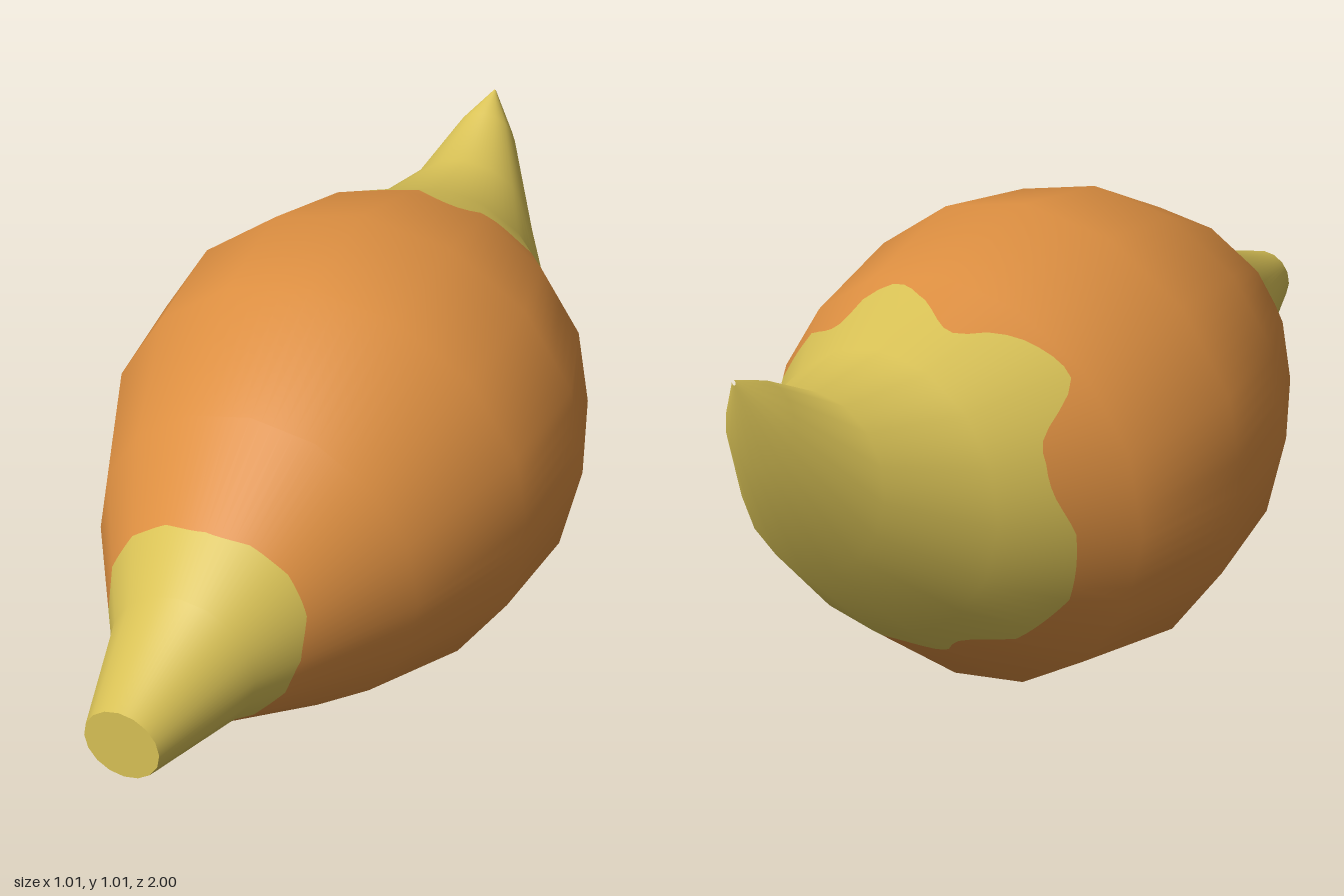
import * as THREE from 'three';

const SIDES = 16, SUB = 6, COLS = SIDES * SUB;

// Cross-sections from stem to tip: [top z, top y, bottom z, bottom y, half width]
const RINGS = [
  [1, 0.583, 1, 0.437, 0.073],
  [0.76, 0.657, 0.76, 0.368, 0.147],
  [0.44, 0.853, 0.44, 0.168, 0.342],
  [0.15, 0.98, 0.15, 0.04, 0.47],
  [-0.12, 1.015, -0.12, 0.003, 0.505],
  [-0.4, 0.948, -0.4, 0.075, 0.437],
  [-0.6, 0.868, -0.67, 0.315, 0.27],
  [-0.79, 0.855, -0.86, 0.535, 0.163],
  [-0.92, 0.925, -0.97, 0.785, 0.074],
  [-1, 0.955, -1, 0.945, 0.004],
];
const LAST = RINGS.length - 1;

// Depth of the colour borders at equal angles, from the top towards +x
const STEM_EDGE = [0.645, 0.635, 0.64, 0.675, 0.7, 0.74, 0.775, 0.74, 0.7, 0.675, 0.64, 0.635];
const TIP_EDGE = [
  -0.465, -0.42, -0.51, -0.485, -0.455, -0.49, -0.555, -0.53, -0.535, -0.575, -0.61, -0.66,
  -0.64, -0.58, -0.6, -0.54, -0.51, -0.5, -0.51, -0.535, -0.52, -0.425, -0.435, -0.505,
];

// Smooth periodic lookup
function wave(list, t) {
  const n = list.length, p = t * n, i = Math.floor(p), f = p - i;
  const [a, b, c, d] = [-1, 0, 1, 2].map((k) => list[(i + k + n) % n]);
  return b + 0.5 * f * (c - a + f * (2 * a - 5 * b + 4 * c - d + f * (3 * (b - c) + d - a)));
}

// Coarse sixteen-sided loft that gives the faceted outline and soft normals
function coarseLoft() {
  const pos = [], index = [];
  for (const [tz, ty, bz, by, w] of RINGS) {
    for (let j = 0; j < SIDES; j++) {
      const a = (j / SIDES) * Math.PI * 2, c = Math.cos(a);
      pos.push(w * Math.sin(a), (ty + by) / 2 + (c * (ty - by)) / 2, (tz + bz) / 2 + (c * (tz - bz)) / 2);
    }
  }
  for (let i = 0; i < LAST; i++) {
    for (let j = 0; j < SIDES; j++) {
      const k = (j + 1) % SIDES, r = i * SIDES, s = r + SIDES;
      index.push(r + j, r + k, s + j, r + k, s + k, s + j);
    }
  }
  const geo = new THREE.BufferGeometry();
  geo.setAttribute('position', new THREE.Float32BufferAttribute(pos, 3));
  geo.setIndex(index);
  geo.computeVertexNormals();
  return geo;
}

// Position or normal at ring coordinate u and column c
function sample(attr, u, c) {
  const i = Math.min(Math.floor(u), LAST - 1);
  const j = Math.floor(c / SUB) % SIDES, k = (j + 1) % SIDES, f = (c % SUB) / SUB;
  const at = (r, s) => new THREE.Vector3().fromBufferAttribute(attr, r * SIDES + s);
  return at(i, j).lerp(at(i, k), f).lerp(at(i + 1, j).lerp(at(i + 1, k), f), u - i);
}

// Ring coordinate where a column reaches depth z
function findU(attr, z, c) {
  let lo = 0, hi = LAST;
  for (let n = 0; n < 24; n++) {
    const mid = (lo + hi) / 2;
    if (sample(attr, mid, c).z > z) lo = mid;
    else hi = mid;
  }
  return lo;
}

// Band of the loft between two borders (one ring coordinate per column)
function band(loft, from, to) {
  const pos = [], nor = [], index = [], rows = [];
  for (let i = 0; i <= LAST; i++) {
    for (let c = 0; c <= COLS; c++) {
      const u = Math.max(from[c], Math.min(to[c], i));
      rows.push(u);
      pos.push(...sample(loft.attributes.position, u, c).toArray());
      nor.push(...sample(loft.attributes.normal, u, c).normalize().toArray());
    }
  }
  for (let i = 0; i < LAST; i++) {
    for (let c = 0; c < COLS; c++) {
      const a = i * (COLS + 1) + c, b = a + 1, d = a + COLS + 1, e = d + 1;
      if (rows[a] < rows[d]) index.push(a, b, d);
      if (rows[b] < rows[e]) index.push(b, e, d);
    }
  }
  const geo = new THREE.BufferGeometry();
  geo.setAttribute('position', new THREE.Float32BufferAttribute(pos, 3));
  geo.setAttribute('normal', new THREE.Float32BufferAttribute(nor, 3));
  geo.setIndex(index);
  return geo;
}

export function createModel() {
  const group = new THREE.Group();
  const orange = new THREE.MeshStandardMaterial({ color: 0xdd8f41 });
  orange.name = 'orange skin';
  const yellow = new THREE.MeshStandardMaterial({ color: 0xd9c256 });
  yellow.name = 'yellow skin';

  const loft = coarseLoft();
  const border = (fn) => Array.from({ length: COLS + 1 }, (_, c) => fn(c));
  const edge = (list) => border((c) => findU(loft.attributes.position, wave(list, (c % COLS) / COLS), c));
  const start = border(() => 0), end = border(() => LAST);
  const stemEdge = edge(STEM_EDGE), tipEdge = edge(TIP_EDGE);

  const add = (name, geo, mat) => {
    const mesh = new THREE.Mesh(geo, mat);
    mesh.name = name;
    group.add(mesh);
    return mesh;
  };
  add('stem', band(loft, start, stemEdge), yellow);
  add('body', band(loft, stemEdge, tipEdge), orange);
  add('curvedTip', band(loft, tipEdge, end), yellow);

  // Flat cut end of the stem
  const cap = add('stemEnd', new THREE.CircleGeometry(0.073, SIDES), yellow);
  cap.position.set(0, 0.51, 1);

  return group;
}
